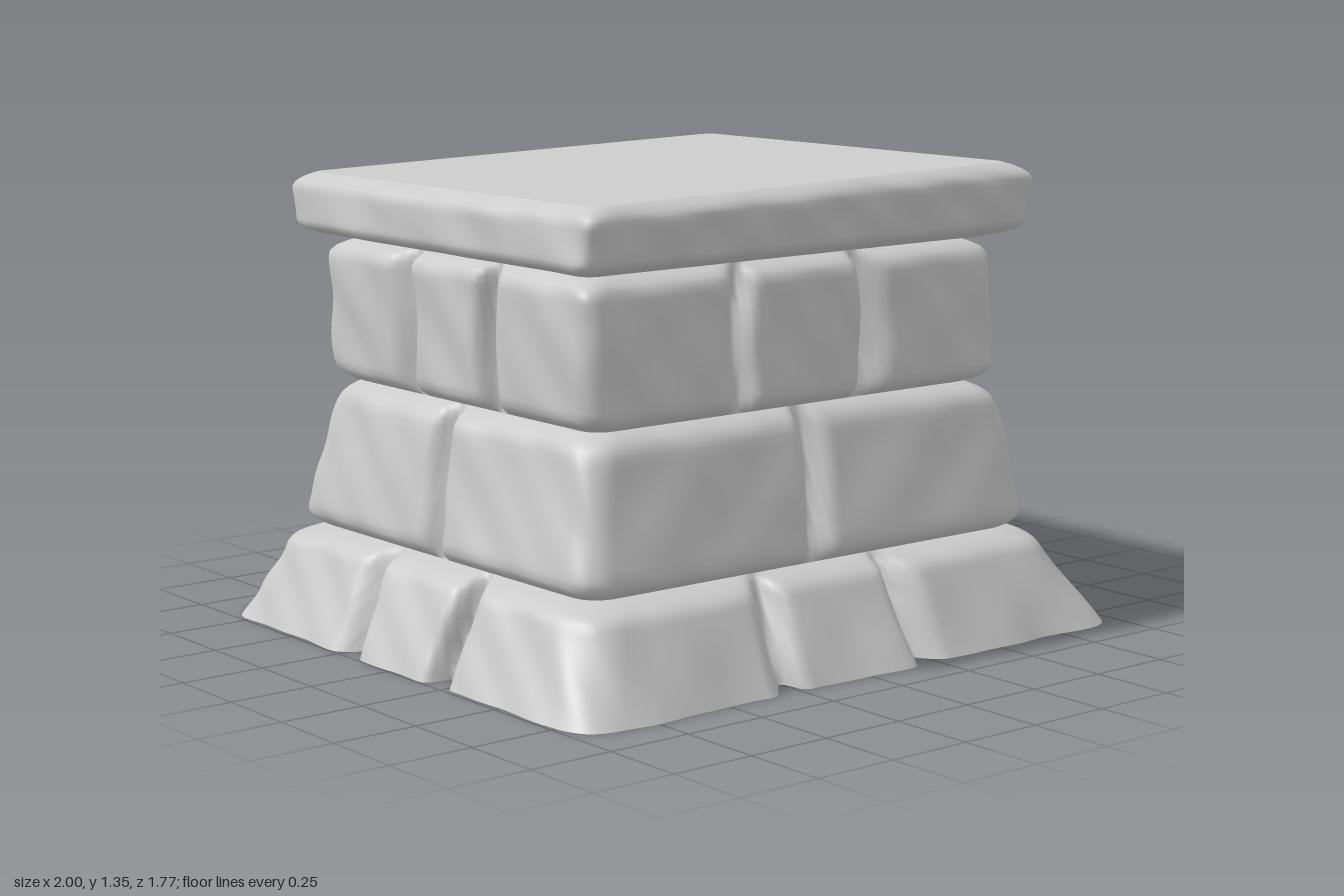
import * as THREE from 'three';

const SIDE = 90; // samples along each side of the square plan
const stone = new THREE.MeshStandardMaterial({ color: 0xcccccc, side: THREE.DoubleSide });
const lerp = THREE.MathUtils.lerp;

// Rounded shoulder of a stone: 0 in the joint, 1 on the face
const shoulder = (e, w) => 1 - Math.pow(1 - THREE.MathUtils.clamp(e / w, 0, 1), 3);

// Soft hand-hewn unevenness
const wobble = (x, y, z) =>
  0.007 * Math.sin(7 * x + 4 * y + 1) * Math.sin(6 * z - 5 * y + 2) +
  0.004 * Math.sin(17 * x - 13 * y) * Math.cos(15 * z + 11 * y + 1) +
  0.003 * Math.sin(31 * x + 23 * y + 29 * z);

// Point on a rounded rectangle, counter-clockwise from above, side 0 = front
function planPoint(side, t, hx, hz, r) {
  const [u, v] = [[t, 1], [1, -t], [-t, -1], [-1, t]][side];
  const p = new THREE.Vector2(u * hx, v * hz);
  const core = new THREE.Vector2(
    THREE.MathUtils.clamp(p.x, r - hx, hx - r),
    THREE.MathUtils.clamp(p.y, r - hz, hz - r));
  return p.sub(core).setLength(r).add(core);
}

// Join closed loops of equal length into a skin
function loft(name, loops) {
  const n = loops[0].length;
  const index = [];
  for (let j = 0; j < loops.length - 1; j++) {
    for (let i = 0; i < n; i++) {
      const a = j * n + i, b = j * n + (i + 1) % n;
      index.push(a, b, a + n, b, b + n, a + n);
    }
  }
  const geometry = new THREE.BufferGeometry().setFromPoints(loops.flat());
  geometry.setIndex(index);
  geometry.computeVertexNormals();
  const mesh = new THREE.Mesh(geometry, stone);
  mesh.name = name;
  return mesh;
}

// One course of stones. Pairs are [bottom, top]; hx, hz are the mortar face,
// depth is how far the stones stand out, joints are positions per axis.
function courseLoops({ y, cx, hx, hz, depth, r, edge, xJoints = [], zJoints = [], cut = false, tilt = 0, rows = 20 }) {
  const loops = [];
  for (let j = 0; j <= rows; j++) {
    const v = cut ? Math.sin(j / rows * Math.PI / 2) : (1 - Math.cos(j / rows * Math.PI)) / 2;
    const height = lerp(y[0], y[1], v);
    const down = cut ? 1 : height - y[0];
    const rise = shoulder(down, edge) * shoulder(y[1] - height, edge);
    const ax = lerp(...hx, v), az = lerp(...hz, v), mid = lerp(...cx, v);
    const loop = [];
    for (let side = 0; side < 4; side++) {
      const joints = side % 2 ? zJoints : xJoints;
      for (let i = 0; i < SIDE; i++) {
        const t = 2 * i / SIDE - 1;
        const flat = planPoint(side, t, ax, az, r);
        const along = side % 2 ? flat.y : flat.x + mid;
        let relief = rise;
        for (const joint of joints) {
          const bend = 0.008 * Math.sin(14 * height + 9 * joint + side);
          relief *= shoulder(Math.abs(along - joint - bend) - 0.014, 0.06);
        }
        const d = relief * (lerp(...depth, v) + wobble(flat.x, height, flat.y));
        const p = planPoint(side, t, ax + d, az + d, r);
        const lean = tilt * v * (p.x + 0.45 * p.y);
        loop.push(new THREE.Vector3(p.x + mid, height + lean, p.y));
      }
    }
    loops.push(loop);
  }
  return loops;
}

export function createModel() {
  const model = new THREE.Group();
  model.name = 'stonePedestal';

  // Flared bottom course, cut off flat at the ground
  const base = courseLoops({
    y: [0, 0.285], cx: [0, -0.02], hx: [0.9, 0.775], hz: [0.785, 0.655], depth: [0.09, 0.075],
    r: 0.13, edge: 0.06, xJoints: [-0.25, 0.2], zJoints: [-0.2, 0.2], cut: true,
  });
  model.add(loft('baseCourse', base));

  // Flat underside rim around the hollow
  const inner = [];
  for (let side = 0; side < 4; side++) {
    for (let i = 0; i < SIDE; i++) {
      const p = planPoint(side, 2 * i / SIDE - 1, 0.87, 0.755, 0.12);
      inner.push(new THREE.Vector3(p.x, 0, p.y));
    }
  }
  model.add(loft('bottomRim', [inner, base[0]]));

  // Sloped course of large stones
  model.add(loft('middleCourse', courseLoops({
    y: [0.285, 0.715], cx: [-0.02, -0.035], hx: [0.775, 0.685], hz: [0.655, 0.575], depth: [0.06, 0.055],
    r: 0.08, edge: 0.07, xJoints: [-0.02], zJoints: [-0.02],
  })));

  // Upright course of small stones
  model.add(loft('upperCourse', courseLoops({
    y: [0.715, 1.13], cx: [-0.035, -0.045], hx: [0.685, 0.68], hz: [0.575, 0.565], depth: [0.06, 0.065],
    r: 0.06, edge: 0.06, xJoints: [-0.24, 0.2], zJoints: [-0.2, 0.16],
  })));

  // Overhanging cap slab with a slightly tilted top
  const cap = courseLoops({
    y: [1.13, 1.335], cx: [-0.045, -0.045], hx: [0.68, 0.745], hz: [0.565, 0.665], depth: [0.125, 0.055],
    r: 0.035, edge: 0.06, tilt: 0.018,
  });
  model.add(loft('capSlab', cap));

  const rim = cap[cap.length - 1];
  const centre = rim.map(() => new THREE.Vector3(-0.045, 1.335, 0));
  model.add(loft('capTop', [rim, centre]));

  return model;
}
